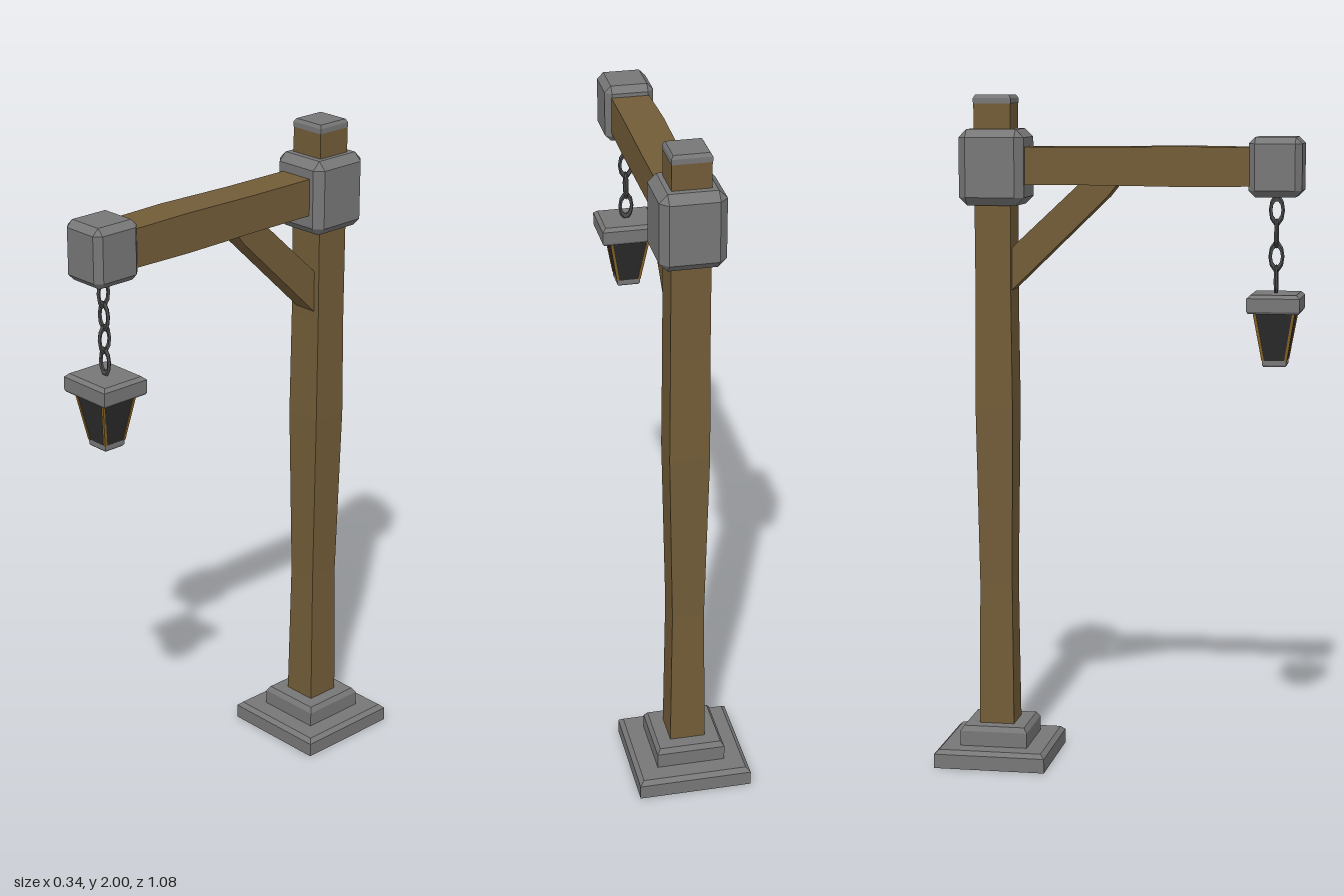
import * as THREE from 'three';
import { ConvexGeometry } from 'three/addons/geometries/ConvexGeometry.js';

const mat = (color) => new THREE.MeshStandardMaterial({ color, flatShading: true });

// Closed four-sided loft through rectangles [y, halfX, halfZ, centreX, centreZ]
function loft(sections) {
  const signs = [[-1, -1], [-1, 1], [1, 1], [1, -1]];
  const rings = sections.map(([y, hx, hz = hx, cx = 0, cz = 0]) =>
    signs.map(([sx, sz]) => [cx + sx * hx, y, cz + sz * hz]));
  const pos = [];
  const quad = (a, b, c, d) => pos.push(...a, ...b, ...c, ...a, ...c, ...d);
  for (let k = 0; k + 1 < rings.length; k++) {
    const lo = rings[k], hi = rings[k + 1];
    for (let i = 0; i < 4; i++) {
      const j = (i + 1) % 4;
      quad(lo[i], lo[j], hi[j], hi[i]);
    }
  }
  const bottom = rings[0], top = rings[rings.length - 1];
  quad(bottom[3], bottom[2], bottom[1], bottom[0]);
  quad(...top);
  const g = new THREE.BufferGeometry();
  g.setAttribute('position', new THREE.Float32BufferAttribute(pos, 3));
  g.computeVertexNormals();
  return g;
}

// Box with every edge chamfered by c
function chamferBox(hx, hy, hz, c) {
  const pts = [];
  for (const sx of [-1, 1]) for (const sy of [-1, 1]) for (const sz of [-1, 1]) {
    pts.push(new THREE.Vector3(sx * hx, sy * (hy - c), sz * (hz - c)));
    pts.push(new THREE.Vector3(sx * (hx - c), sy * hy, sz * (hz - c)));
    pts.push(new THREE.Vector3(sx * (hx - c), sy * (hy - c), sz * hz));
  }
  return new ConvexGeometry(pts);
}

export function createModel() {
  const root = new THREE.Group();
  root.name = 'hangingLanternPost';
  const wood = mat(0x725c38), stone = mat(0x777777), iron = mat(0x4c4c4c);
  const glass = mat(0x2b2b2b), brass = mat(0x8a6426);
  const POST_Z = -0.368, LAMP_Z = 0.462;

  const add = (name, geometry, material, x = 0, y = 0, z = 0, parent = root) => {
    const mesh = new THREE.Mesh(geometry, material);
    mesh.name = name;
    mesh.position.set(x, y, z);
    parent.add(mesh);
    return mesh;
  };

  // Stepped stone foot
  add('footSlab', loft([[0, 0.168], [0.043, 0.168], [0.055, 0.155]]), stone, 0, 0, POST_Z);
  add('footStep', loft([[0.05, 0.102], [0.1, 0.102], [0.115, 0.092]]), stone, 0, 0, POST_Z);

  // Roughly hewn post with a cap
  add('post', loft([
    [0.1, 0.053], [0.55, 0.047, 0.049], [1.08, 0.058, 0.056],
    [1.4, 0.056, 0.053], [1.98, 0.055],
  ]), wood, 0, 0, POST_Z);
  add('postCap', loft([[1.975, 0.056], [1.99, 0.056], [2, 0.05]]), stone, 0, 0, POST_Z);
  add('postCollar', chamferBox(0.093, 0.111, 0.097, 0.024), stone, 0, 1.79, POST_Z);

  // Arm, lofted upward and then laid forward along z
  const arm = loft([
    [-0.34, 0.055, 0.055], [-0.05, 0.056, 0.055],
    [0.2, 0.058, 0.058, -0.002], [0.44, 0.056, 0.055],
  ]).rotateX(Math.PI / 2);
  add('arm', arm, wood, 0, 1.795, 0);
  add('armEndBlock', chamferBox(0.073, 0.086, 0.077, 0.019), stone, 0, 1.795, LAMP_Z);

  // Diagonal brace, drawn in the z-y plane and extruded across x
  const braceShape = new THREE.Shape([
    [0.01, 1.755], [-0.03, 1.705], [-0.32, 1.425], [-0.32, 1.55], [-0.1, 1.755],
  ].map(([z, y]) => new THREE.Vector2(-z, y)));
  const brace = new THREE.ExtrudeGeometry(braceShape, { depth: 0.074, bevelEnabled: false });
  brace.translate(0, 0, -0.037).rotateY(Math.PI / 2);
  add('brace', brace, wood);

  // Chain of alternating oval links
  const chain = new THREE.Group();
  chain.name = 'chain';
  chain.position.z = LAMP_Z;
  root.add(chain);
  const link = new THREE.TorusGeometry(0.018, 0.0055, 5, 10).scale(1, 1.95, 1);
  for (let i = 0; i < 4; i++) {
    const m = add('chainLink', link, iron, 0, 1.67 - i * 0.067, 0, chain);
    m.rotation.y = i % 2 ? 0 : Math.PI / 2;
  }

  // Lantern
  const lantern = new THREE.Group();
  lantern.name = 'lantern';
  lantern.position.z = LAMP_Z;
  root.add(lantern);
  add('lanternLid', loft([
    [1.375, 0.082, 0.073], [1.382, 0.087, 0.077], [1.42, 0.087, 0.077], [1.43, 0.076, 0.066],
  ]), stone, 0, 0, 0, lantern);
  add('lanternGlass', loft([[1.235, 0.035], [1.38, 0.059]]), glass, 0, 0, 0, lantern);
  for (const sx of [-1, 1]) for (const sz of [-1, 1]) {
    add('lanternCornerBar', loft([
      [1.235, 0.004, 0.004, sx * 0.033, sz * 0.033],
      [1.38, 0.004, 0.004, sx * 0.058, sz * 0.058],
    ]), brass, 0, 0, 0, lantern);
  }
  add('lanternBase', loft([[1.217, 0.032], [1.222, 0.035], [1.242, 0.035]]), stone, 0, 0, 0, lantern);

  return root;
}
